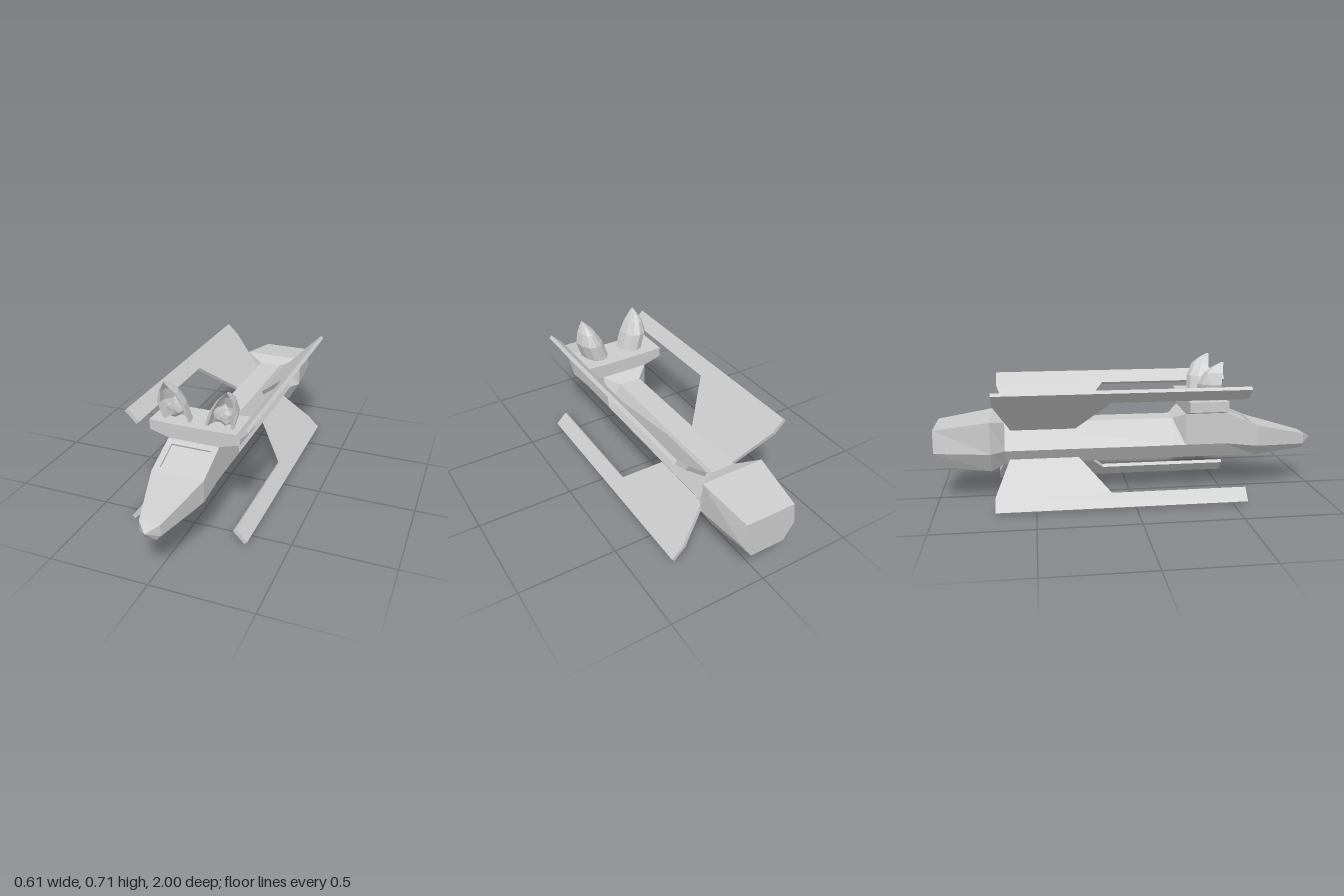
import * as THREE from 'three';

const grey = new THREE.MeshStandardMaterial({ color: 0xcccccc, flatShading: true, side: THREE.DoubleSide });

function addMesh(parent, geometry, name) {
  const mesh = new THREE.Mesh(geometry, grey);
  mesh.name = name;
  parent.add(mesh);
  return mesh;
}

// Skin a list of equal-length rings; skip(ring, side) leaves a face open
function loft(rings, caps = true, skip = () => false) {
  const pos = [];
  const tri = (a, b, c) => pos.push(...a, ...b, ...c);
  const n = rings[0].length;
  for (let r = 0; r < rings.length - 1; r++) {
    for (let i = 0; i < n; i++) {
      if (skip(r, i)) continue;
      const j = (i + 1) % n, p = rings[r], q = rings[r + 1];
      tri(p[i], p[j], q[j]);
      tri(p[i], q[j], q[i]);
    }
  }
  if (caps) {
    const a = rings[0], b = rings[rings.length - 1];
    for (let i = 1; i < n - 1; i++) {
      tri(a[0], a[i + 1], a[i]);
      tri(b[0], b[i], b[i + 1]);
    }
  }
  const g = new THREE.BufferGeometry();
  g.setAttribute('position', new THREE.Float32BufferAttribute(pos, 3));
  g.computeVertexNormals();
  return g;
}

function polygon(points) {
  return new THREE.Shape(points.map(([x, y]) => new THREE.Vector2(x, y)));
}

// Six-sided hull section: half widths and heights of top, middle and bottom
const section = ([z, wt, yt, wm, ym, wb, yb]) => [
  [wt, yt, z], [-wt, yt, z], [-wm, ym, z], [-wb, yb, z], [wb, yb, z], [wm, ym, z],
];

// Flat fin standing out diagonally from the hull axis
function finGeometry(sx, sy) {
  const thick = 0.02;
  const g = new THREE.ExtrudeGeometry(polygon([
    [0.575, 0.421], [-0.70, 0.421], [-0.70, 0.338], [-0.62, 0.105],
    [-0.29, 0.105], [-0.12, 0.338], [0.575, 0.338],
  ]), { depth: thick, bevelEnabled: false });
  g.translate(0, 0, -thick / 2);
  const k = Math.SQRT1_2;
  g.applyMatrix4(new THREE.Matrix4().makeBasis(
    new THREE.Vector3(0, 0, 1),
    new THREE.Vector3(sx * k, sy * k, 0),
    new THREE.Vector3(-sy * k, sx * k, 0),
  ));
  return g.translate(0, 0.308, 0);
}

// Ear shell: crescent sections, hollow towards the front
function earGeometry() {
  const levels = [ // y, inner x, outer x, front z, back z
    [0.515, 0.035, 0.178, 0.435, 0.33],
    [0.605, 0.065, 0.205, 0.442, 0.335],
    [0.665, 0.103, 0.19, 0.45, 0.365],
    [0.695, 0.133, 0.173, 0.456, 0.405],
    [0.717, 0.156, 0.158, 0.46, 0.45],
  ];
  const steps = 6;
  return loft(levels.map(([y, x0, x1, zf, zb]) => {
    const cx = (x0 + x1) / 2, r = (x1 - x0) / 2, d = zf - zb, ring = [];
    for (let i = 0; i <= steps; i++) {
      const a = (i / steps) * Math.PI;
      ring.push([cx + r * Math.cos(a), y, zf - d * Math.sin(a)]);
    }
    for (let i = steps; i >= 0; i--) {
      const a = (i / steps) * Math.PI;
      ring.push([cx + 0.8 * r * Math.cos(a), y, zf - 0.6 * d * Math.sin(a)]);
    }
    return ring;
  }), false);
}

// Ragged tuft filling the ear
function tuftGeometry() {
  const g = new THREE.IcosahedronGeometry(1, 1);
  const p = g.attributes.position, v = new THREE.Vector3();
  for (let i = 0; i < p.count; i++) {
    v.fromBufferAttribute(p, i);
    const s = 0.95 + 0.17 * Math.sin(7 * v.x + 11 * v.y + 5 * v.z);
    p.setXYZ(i, v.x * s * 0.046, v.y * s * 0.052, v.z * s * 0.035);
  }
  g.computeVertexNormals();
  return g.rotateZ(0.2).translate(0.118, 0.578, 0.408);
}

export function createModel() {
  const model = new THREE.Group();
  model.name = 'spaceship';

  // Hull: engine block, spine, cockpit and nose
  const hull = [
    [-1, 0.13, 0.40, 0.145, 0.285, 0.09, 0.20],
    [-0.72, 0.165, 0.44, 0.165, 0.275, 0.105, 0.17],
    [-0.65, 0.06, 0.41, 0.13, 0.28, 0.08, 0.20],
    [0.22, 0.06, 0.41, 0.13, 0.28, 0.08, 0.20],
    [0.28, 0.13, 0.445, 0.13, 0.28, 0.08, 0.20],
    [0.49, 0.13, 0.445, 0.13, 0.28, 0.08, 0.20],
    [0.67, 0.13, 0.37, 0.13, 0.26, 0.08, 0.20],
    [0.95, 0.05, 0.297, 0.05, 0.24, 0.03, 0.215],
    [1, 0, 0.27, 0, 0.27, 0, 0.27],
  ].map(section);
  addMesh(model, loft(hull, true, (r, i) => r === 5 && i === 0), 'hull');

  // Windscreen: frame closing the sloped hull face, with a sunken pane
  const windscreen = new THREE.Group();
  windscreen.name = 'windscreen';
  const rect = (w, h) => [[-w, -h], [w, -h], [w, h], [-w, h]];
  const frame = polygon(rect(0.13, 0.0975));
  frame.holes.push(polygon(rect(0.1, 0.071)));
  const depth = 0.012;
  addMesh(windscreen, new THREE.ExtrudeGeometry(frame, { depth, bevelEnabled: false }), 'windscreenFrame')
    .position.z = -depth;
  addMesh(windscreen, new THREE.PlaneGeometry(0.21, 0.15), 'windscreenPane').position.z = -depth + 0.002;
  windscreen.position.set(0, 0.4075, 0.58);
  windscreen.rotation.x = Math.atan2(0.075, 0.18) - Math.PI / 2;
  model.add(windscreen);

  // Platform across the cockpit roof
  const platform = polygon([
    [-0.23, 0.525], [-0.23, 0.473], [-0.13, 0.445], [0.13, 0.445],
    [0.23, 0.473], [0.23, 0.525], [0.13, 0.52], [-0.13, 0.52],
  ]);
  addMesh(model, new THREE.ExtrudeGeometry(platform, { depth: 0.2, bevelEnabled: false }), 'earPlatform')
    .position.z = 0.28;

  // Four diagonal fins
  for (const [sx, side] of [[1, 'Left'], [-1, 'Right']]) {
    for (const [sy, level] of [[1, 'upper'], [-1, 'lower']]) {
      addMesh(model, finGeometry(sx, sy), `${level}${side}Fin`);
    }
  }

  // Pair of ears, mirrored
  for (const [sx, side] of [[1, 'left'], [-1, 'right']]) {
    const ear = new THREE.Group();
    ear.name = `${side}Ear`;
    addMesh(ear, earGeometry(), 'earShell');
    addMesh(ear, tuftGeometry(), 'earTuft');
    ear.scale.x = sx;
    model.add(ear);
  }

  return model;
}
